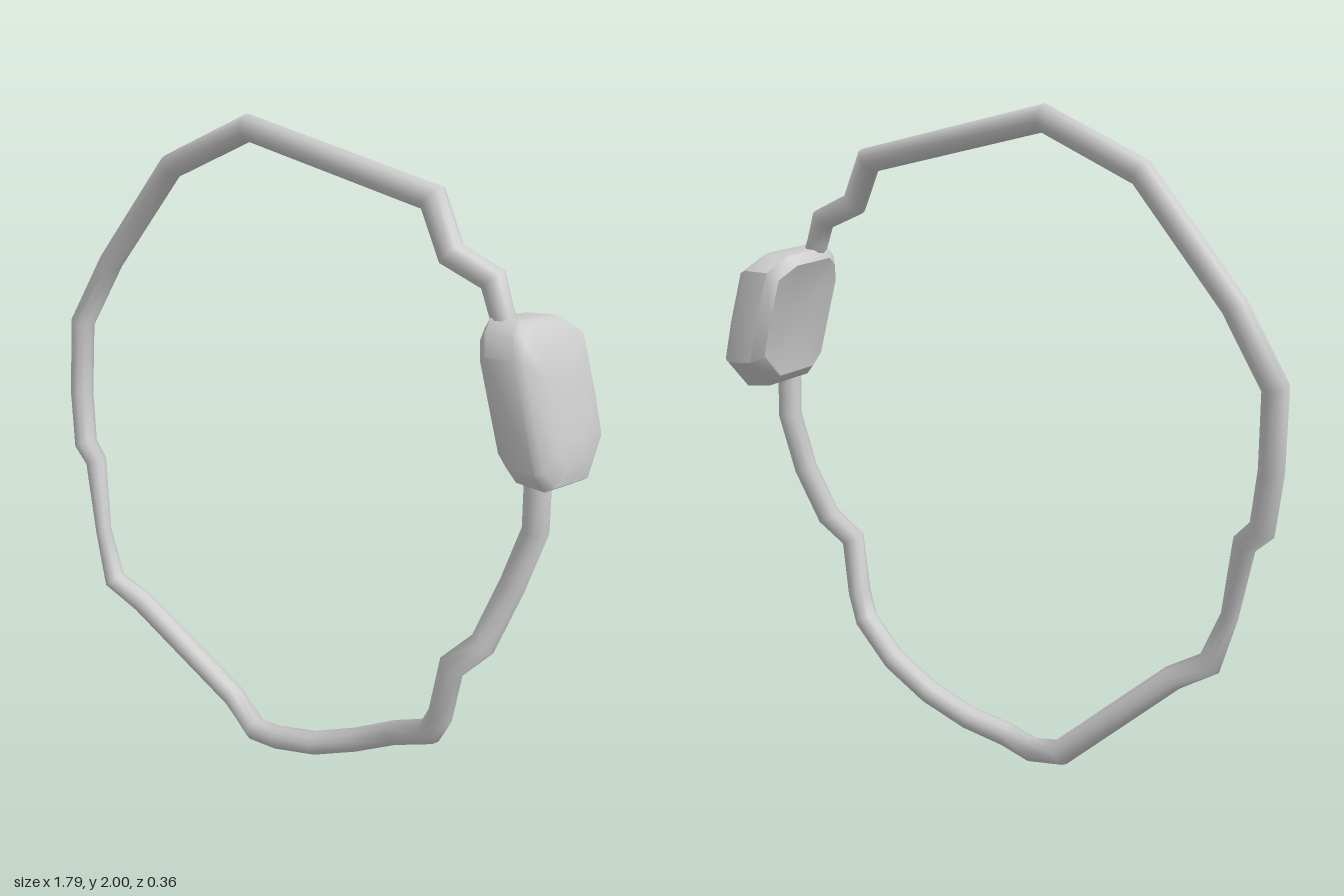
import * as THREE from 'three';
import { mergeVertices, toCreasedNormals } from 'three/addons/utils/BufferGeometryUtils.js';

// Skin a list of equal-length rings (counter-clockwise about the direction of travel) and close both ends.
function loft(rings) {
  const n = rings[0].length, pos = [], index = [];
  rings.forEach(r => r.forEach(p => pos.push(p.x, p.y, p.z)));
  for (let k = 0; k < rings.length - 1; k++) {
    for (let j = 0; j < n; j++) {
      const a = k * n + j, b = k * n + (j + 1) % n;
      index.push(a, b, b + n, a, b + n, a + n);
    }
  }
  [0, rings.length - 1].forEach((k, end) => {
    const c = new THREE.Vector3();
    rings[k].forEach(p => c.addScaledVector(p, 1 / n));
    const ci = pos.length / 3;
    pos.push(c.x, c.y, c.z);
    for (let j = 0; j < n; j++) {
      const a = k * n + j, b = k * n + (j + 1) % n;
      index.push(ci, end ? a : b, end ? b : a);
    }
  });
  const g = new THREE.BufferGeometry();
  g.setAttribute('position', new THREE.Float32BufferAttribute(pos, 3));
  g.setIndex(index);
  g.computeVertexNormals();
  return g;
}

// Mitred tube along a bent path of [x, y, z, radius].
function bentTube(path, sides) {
  const pts = path.map(p => new THREE.Vector3(p[0], p[1], p[2]));
  const rings = pts.map((p, i) => {
    const before = p.clone().sub(pts[Math.max(i - 1, 0)]).normalize();
    const after = pts[Math.min(i + 1, pts.length - 1)].clone().sub(p).normalize();
    const t = before.clone().add(after).normalize();
    const side = t.clone().cross(new THREE.Vector3(0, 0, 1)).normalize();
    const up = t.clone().cross(side);
    const r = path[i][3] ?? 0.037;
    const inner = i === 0 || i === pts.length - 1 ? 1 : Math.max(t.dot(after), 0.8);
    return Array.from({ length: sides }, (_, j) => {
      const a = j / sides * Math.PI * 2;
      return p.clone().addScaledVector(side, Math.cos(a) * r / inner).addScaledVector(up, Math.sin(a) * r);
    });
  });
  return loft(rings);
}

// Flat case with chamfered rims, leaning along the band and turned slightly.
function caseGeometry() {
  const outline = [ // [z, y]
    [0.06, 1.59], [-0.1, 1.57], [-0.18, 1.52], [-0.185, 1.36], [-0.18, 1.23],
    [-0.08, 1.14], [0.085, 1.16], [0.115, 1.21], [0.115, 1.5], [0.095, 1.56],
  ].reverse();
  const layers = [ // [depth, scale], inner face to outer face
    [-0.062, 0.5], [-0.076, 0.82], [-0.045, 0.97], [0.035, 1], [0.058, 0.94], [0.085, 0.68], [0.092, 0.35],
  ];
  const cy = 1.37, cz = -0.03;
  const rings = layers.map(([depth, s]) => outline.map(([z, y]) => {
    const dy = (y - cy) * s, dz = (z - cz) * s;
    return new THREE.Vector3(0.765 - 0.28 * dy - 0.17 * dz + depth, cy + dy, cz + dz);
  }));
  return toCreasedNormals(mergeVertices(loft(rings)), 0.7);
}

export function createModel() {
  const model = new THREE.Group();
  model.name = 'bandWithCase';
  const material = new THREE.MeshStandardMaterial({ color: 0xcccccc });
  const add = (name, geometry) => {
    const mesh = new THREE.Mesh(geometry, material);
    mesh.name = name;
    model.add(mesh);
  };

  // Band: from the top of the case, round the loop to its underside
  add('band', bentTube([
    [0.70, 1.52, 0.04, 0.033], [0.66, 1.6, 0.03, 0.033], [0.63, 1.67, 0.02, 0.035],
    [0.51, 1.72, 0.02], [0.44, 1.85, 0],
    [-0.18, 1.962, -0.07], [-0.48, 1.82, -0.095], [-0.75, 1.49, -0.11],
    [-0.857, 1.28, -0.075], [-0.845, 1.05, -0.035], [-0.82, 0.88, -0.01], [-0.77, 0.83, 0, 0.034],
    [-0.725, 0.6, 0.035, 0.026], [-0.665, 0.44, 0.06, 0.035], [-0.56, 0.38, 0.045],
    [-0.23, 0.09, -0.015], [-0.1, 0.043, 0.045],
    [0, 0.062, 0.065], [0.14, 0.093, 0.06], [0.28, 0.155, 0.05], [0.42, 0.24, 0.055],
    [0.565, 0.335, 0.11], [0.605, 0.42, 0.13], [0.637, 0.6, 0.145],
    [0.71, 0.68, 0.11], [0.76, 0.85, 0.06], [0.81, 1.03, 0.05], [0.8, 1.25, 0.045],
  ], 10));

  // Case
  add('case', caseGeometry());
  return model;
}
